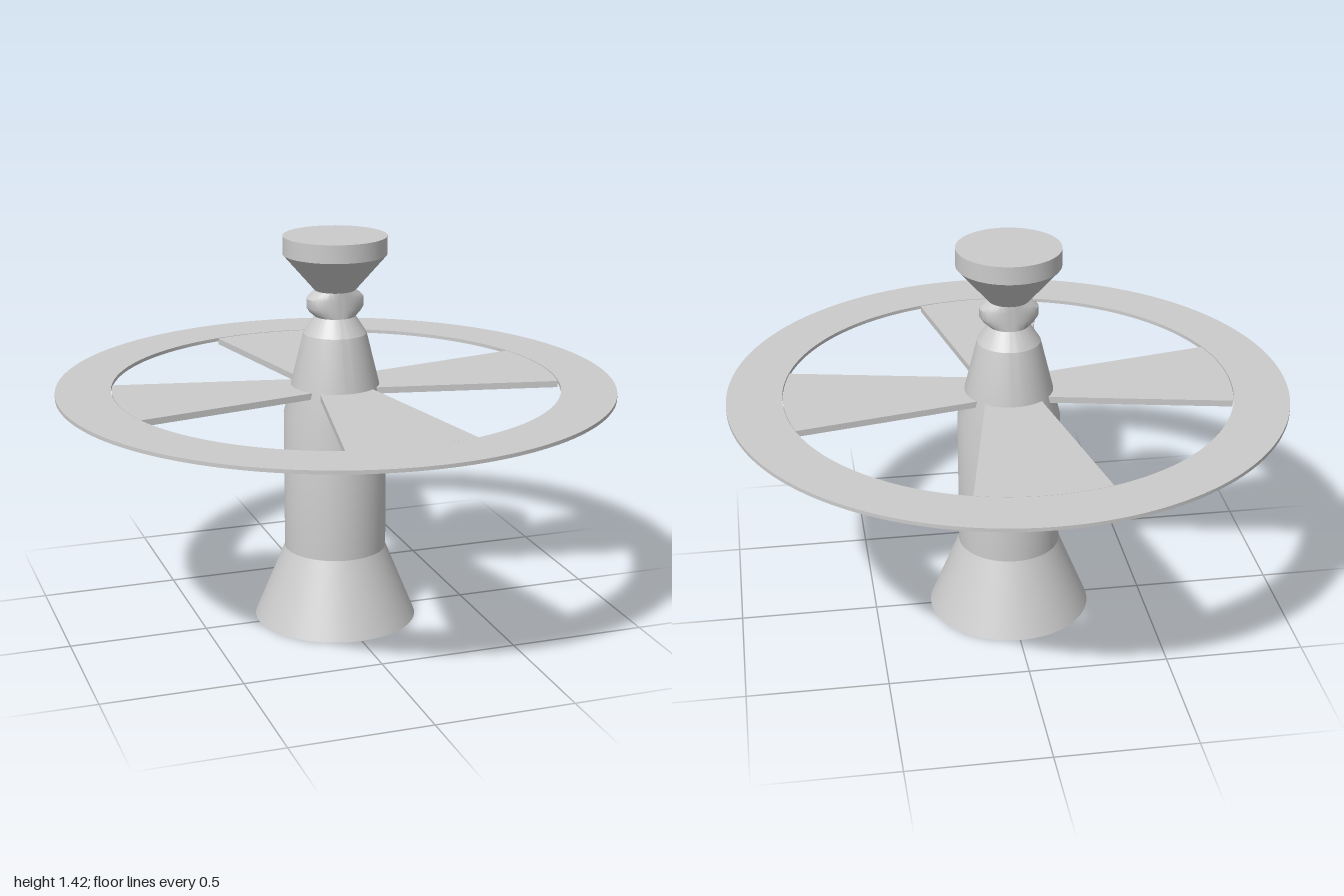
import * as THREE from 'three';
import { toCreasedNormals } from 'three/addons/utils/BufferGeometryUtils.js';

const material = new THREE.MeshStandardMaterial({ color: 0xcccccc });
const SEGMENTS = 72;

function add(parent, name, geometry) {
  const mesh = new THREE.Mesh(geometry, material);
  mesh.name = name;
  parent.add(mesh);
  return mesh;
}

// Turned solid from [radius, height] pairs
function turned(profile) {
  const points = profile.map(([r, y]) => new THREE.Vector2(r, y));
  return new THREE.LatheGeometry(points, SEGMENTS);
}

// Flat plate: shape drawn in plan, lying between two heights
function plate(shape, bottom, top) {
  const geometry = new THREE.ExtrudeGeometry(shape, {
    depth: top - bottom, bevelEnabled: false, curveSegments: 96,
  });
  geometry.rotateX(-Math.PI / 2).translate(0, bottom, 0);
  return toCreasedNormals(geometry, 0.3);
}

export function createModel() {
  const model = new THREE.Group();
  model.name = 'ringedTower';

  // Tower: flared base, cylindrical trunk and tapering shoulders
  const tower = new THREE.Group();
  tower.name = 'tower';
  tower.position.set(-0.002, 0, -0.005);
  model.add(tower);
  add(tower, 'body', toCreasedNormals(turned([
    [0, 0], [0.295, 0], [0.185, 0.27], [0.185, 0.778],
    [0.113, 1.072], [0.073, 1.134], [0, 1.134],
  ]), 0.3));

  // Neck: round at both ends, bulging sideways in the middle
  const neckRows = [
    [1.134, 1], [1.15, 1.26], [1.168, 1.43], [1.2, 1.43], [1.214, 1.25], [1.228, 1],
  ];
  const neck = turned(neckRows.map(([y]) => [0.073, y]));
  const position = neck.attributes.position;
  for (let i = 0; i < position.count; i++) {
    position.setX(i, position.getX(i) * neckRows[i % neckRows.length][1]);
  }
  neck.computeVertexNormals();
  add(tower, 'neck', toCreasedNormals(neck, 0.6));

  // Cup-shaped head with a flat top
  add(tower, 'head', toCreasedNormals(turned([
    [0, 1.228], [0.073, 1.228], [0.185, 1.357], [0.185, 1.422], [0, 1.422],
  ]), 0.3));

  // Outer ring
  const ringShape = new THREE.Shape().absarc(0, 0, 1, 0, Math.PI * 2);
  ringShape.holes.push(new THREE.Path().absarc(0, 0, 0.803, 0, Math.PI * 2, true));
  add(model, 'ring', plate(ringShape, 0.872, 0.885));

  // Four widening blades joining the tower to the ring
  const outer = 0.8;
  const halfAngle = Math.asin(0.229 / outer);
  const bladeShape = new THREE.Shape();
  bladeShape.moveTo(0.1, 0.095);
  bladeShape.lineTo(0.1, -0.095);
  bladeShape.absarc(0, 0, outer, -halfAngle, halfAngle);
  bladeShape.closePath();
  const bladeGeometry = plate(bladeShape, 0.861, 0.884);
  for (let i = 0; i < 4; i++) {
    add(model, 'blade' + (i + 1), bladeGeometry).rotation.y = i * Math.PI / 2;
  }

  return model;
}
